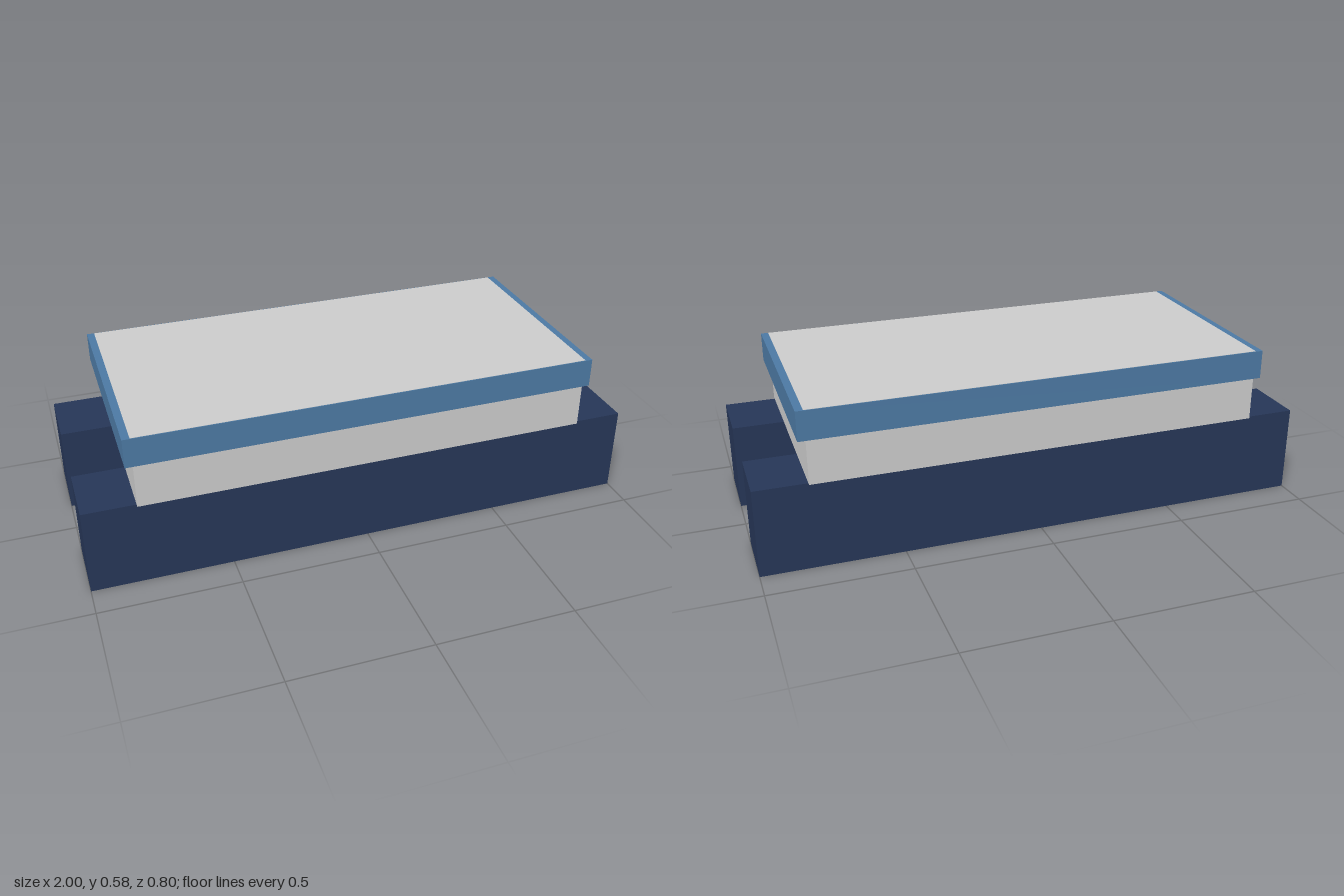
import * as THREE from 'three';

export function createModel() {
  const model = new THREE.Group();
  const navy = new THREE.MeshStandardMaterial({ color: 0x263657 });
  const blue = new THREE.MeshStandardMaterial({ color: 0x4c79a3 });
  const grey = new THREE.MeshStandardMaterial({ color: 0xcccccc });

  // Box given by its size, its base height and its z centre
  function addBox(name, material, width, height, depth, base, z = 0) {
    const mesh = new THREE.Mesh(new THREE.BoxGeometry(width, height, depth), material);
    mesh.name = name;
    mesh.position.set(0, base + height / 2, z);
    model.add(mesh);
  }

  // Two long support beams
  addBox('frontBeam', navy, 2, 0.317, 0.236, 0, 0.264);
  addBox('backBeam', navy, 2, 0.317, 0.236, 0, -0.263);

  // Body slab, rising through the band to form the top panel
  addBox('body', grey, 1.631, 0.264, 0.79, 0.317, 0.001);

  // Band around the upper body: rectangle with a hole for the slab
  const rectangle = (Type, x, z) => new Type([
    new THREE.Vector2(-x, -z), new THREE.Vector2(x, -z),
    new THREE.Vector2(x, z), new THREE.Vector2(-x, z),
  ]);
  const outline = rectangle(THREE.Shape, 0.842, 0.398);
  outline.holes.push(rectangle(THREE.Path, 0.8155, 0.395));
  const bandGeometry = new THREE.ExtrudeGeometry(outline, { depth: 0.105, bevelEnabled: false });
  bandGeometry.rotateX(-Math.PI / 2);
  const band = new THREE.Mesh(bandGeometry, blue);
  band.name = 'upperBand';
  band.position.set(0, 0.475, 0.001);
  model.add(band);

  return model;
}
